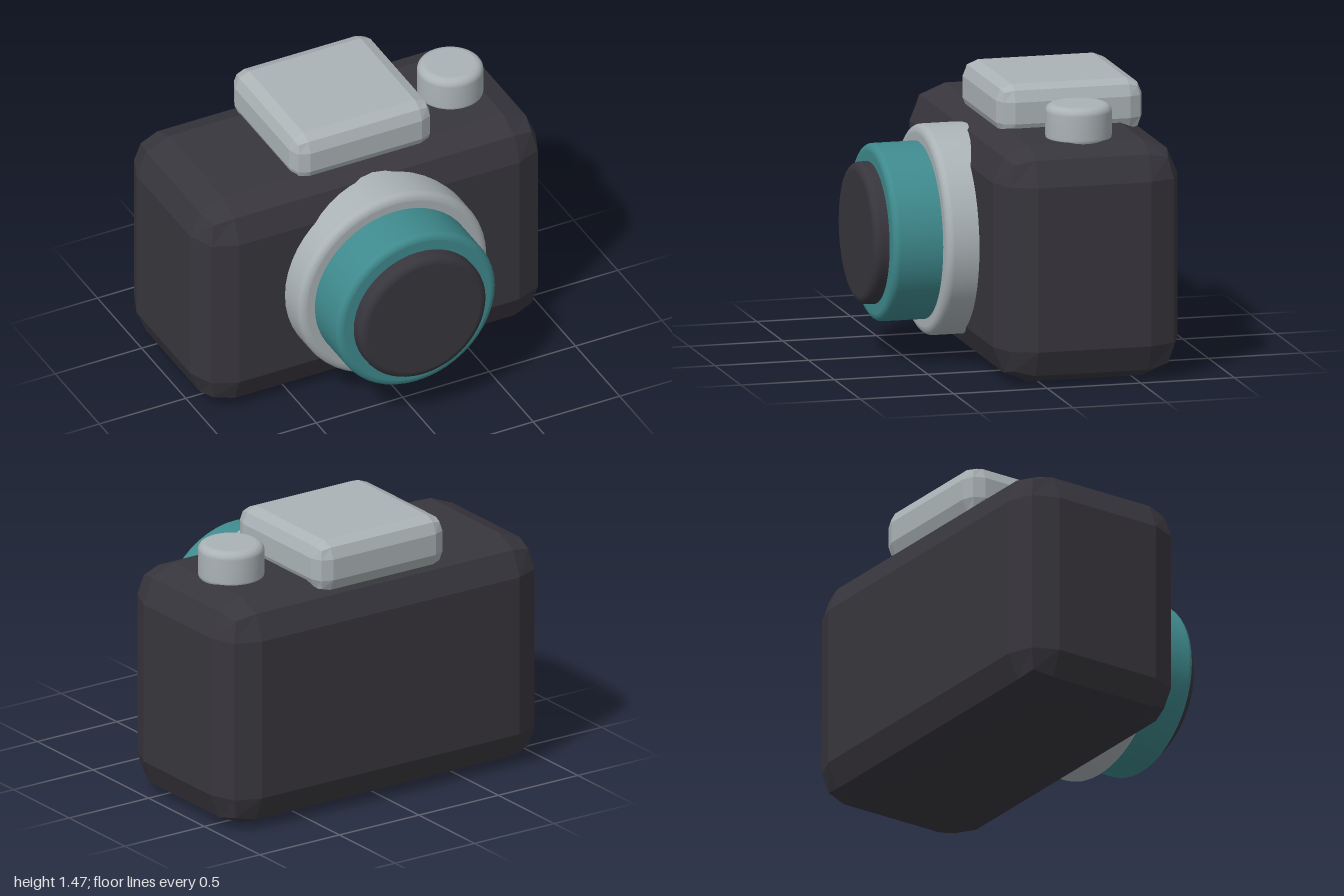
import * as THREE from 'three';

const dark = new THREE.MeshStandardMaterial({ color: 0x38363d });
dark.name = 'charcoal';
const silver = new THREE.MeshStandardMaterial({ color: 0xabb3b6 });
silver.name = 'silver';
const teal = new THREE.MeshStandardMaterial({ color: 0x3f8a8e });
teal.name = 'teal';

// Box with a faceted two-step bevel: outer grid lines lie on the bevel ridge, inner ones on the flat faces
function bevelBox(w, h, d, r) {
  const geo = new THREE.BoxGeometry(1, 1, 1, 3, 3, 3);
  const p = geo.attributes.position;
  const core = [w / 2 - r, h / 2 - r, d / 2 - r];
  for (let i = 0; i < p.count; i++) {
    const v = [p.getX(i), p.getY(i), p.getZ(i)];
    const outer = v.map((c) => (Math.abs(c) > 0.4 ? 1 : 0));
    const len = Math.hypot(...outer);
    const q = v.map((c, k) => Math.sign(c) * (core[k] + (r * outer[k]) / len));
    p.setXYZ(i, ...q);
  }
  const flat = geo.toNonIndexed();
  flat.computeVertexNormals();
  return flat;
}

// Round drum along y from y0 to y1, with rounded rims
function drum(radius, y0, y1, r) {
  const pts = [new THREE.Vector2(0, y0), new THREE.Vector2(radius - r * 1.1, y0)];
  const steps = 4;
  for (const [cy, start] of [[y0 + r, -Math.PI / 2], [y1 - r, 0]]) {
    for (let i = 0; i <= steps; i++) {
      const a = start + (i / steps) * (Math.PI / 2);
      pts.push(new THREE.Vector2(radius - r + Math.cos(a) * r, cy + Math.sin(a) * r));
    }
  }
  pts.push(new THREE.Vector2(radius - r * 1.1, y1), new THREE.Vector2(0, y1));
  return new THREE.LatheGeometry(pts, 48);
}

export function createModel() {
  const group = new THREE.Group();
  group.name = 'camera';
  const add = (name, geo, mat, x, y, z, parent = group) => {
    const mesh = new THREE.Mesh(geo, mat);
    mesh.name = name;
    mesh.position.set(x, y, z);
    parent.add(mesh);
    return mesh;
  };

  // Body and top fittings
  add('body', bevelBox(2, 1.245, 0.985, 0.19), dark, 0, 0.6225, -0.2555);
  add('viewfinderHousing', bevelBox(0.81, 0.28, 0.78, 0.083), silver, 0, 1.325, -0.302);
  add('shutterButton', drum(0.172, 1.215, 1.42, 0.04), silver, 0.663, 0, -0.26);

  // Lens drums stacked towards the front
  const lens = new THREE.Group();
  lens.name = 'lens';
  lens.position.y = 0.655;
  lens.rotation.x = Math.PI / 2;
  group.add(lens);
  add('lensMount', drum(0.547, 0.08, 0.407, 0.04), silver, 0, 0, 0, lens);
  add('lensBarrel', drum(0.461, 0.25, 0.668, 0.035), teal, 0, 0, 0, lens);
  add('lensFront', drum(0.369, 0.5, 0.747, 0.04), dark, 0, 0, 0, lens);

  return group;
}
